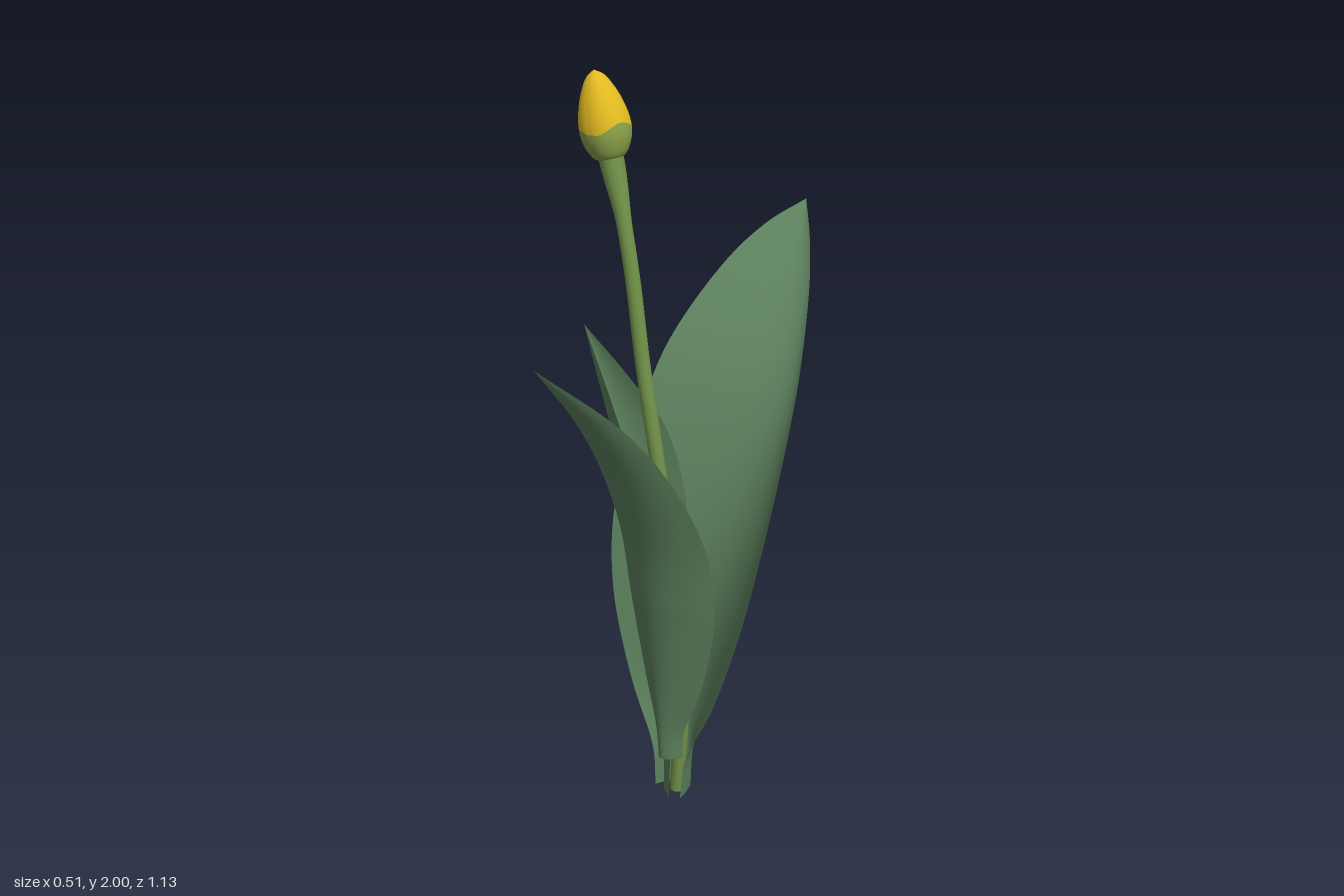
import * as THREE from 'three';

const mat = (name, color, side = THREE.FrontSide) => {
  const m = new THREE.MeshStandardMaterial({ color, side });
  m.name = name;
  return m;
};
const V = (p) => new THREE.Vector3(...p);

// Smooth grid surface from a point function of u and v in 0..1
function sheet(point, nu, nv) {
  const pos = [], index = [];
  for (let j = 0; j <= nv; j++)
    for (let i = 0; i <= nu; i++) pos.push(...point(i / nu, j / nv));
  for (let j = 0; j < nv; j++)
    for (let i = 0; i < nu; i++) {
      const a = j * (nu + 1) + i, b = a + nu + 1;
      index.push(a, b, a + 1, a + 1, b, b + 1);
    }
  const g = new THREE.BufferGeometry();
  g.setAttribute('position', new THREE.Float32BufferAttribute(pos, 3));
  g.setIndex(index);
  g.computeVertexNormals();
  return g;
}

// Leaf blade: each cross-section is a parabola through one edge, the midrib and the other edge
function leaf(edgeA, midrib, edgeB) {
  const [A, M, B] = [edgeA, midrib, edgeB].map((c) => new THREE.CatmullRomCurve3(c.map(V)));
  return sheet((u, v) => {
    const s = u * 2 - 1;
    const a = A.getPoint(v), m = M.getPoint(v), b = B.getPoint(v);
    return m.multiplyScalar(1 - s * s)
      .addScaledVector(a, (s * (s - 1)) / 2)
      .addScaledVector(b, (s * (s + 1)) / 2)
      .toArray();
  }, 20, 64);
}

export function createModel() {
  const group = new THREE.Group();
  const leafGreen = mat('leaf green', 0x5b7f5c, THREE.DoubleSide);
  const stemGreen = mat('stem green', 0x6f9048);
  const budGreen = mat('bud green', 0x889f48, THREE.DoubleSide);
  const petalYellow = mat('petal yellow', 0xe2ba20, THREE.DoubleSide);
  const add = (name, geometry, material, parent = group) => {
    const mesh = new THREE.Mesh(geometry, material);
    mesh.name = name;
    parent.add(mesh);
    return mesh;
  };

  // Tall leaf leaning backwards, one edge wrapping further round the stem
  add('backLeaf', leaf(
    [[0, 0, 0.15], [-0.01, 0.12, 0.15], [-0.085, 0.31, 0.16], [-0.145, 0.58, 0.17], [-0.16, 0.82, 0.145],
      [-0.165, 1.03, 0.06], [-0.175, 1.22, -0.06], [-0.18, 1.4, -0.28], [-0.175, 1.475, -0.43], [-0.16, 1.515, -0.565]],
    [[0.05, 0, 0.07], [0.05, 0.12, 0.065], [0.05, 0.3, 0.05], [0.05, 0.55, 0.018], [0.05, 0.75, -0.033],
      [0.045, 0.95, -0.115], [0.01, 1.15, -0.225], [-0.055, 1.33, -0.365], [-0.11, 1.43, -0.465], [-0.16, 1.515, -0.565]],
    [[0.1, 0, 0.15], [0.11, 0.12, 0.14], [0.18, 0.3, 0.105], [0.245, 0.55, 0.065], [0.255, 0.75, 0.005],
      [0.215, 0.95, -0.105], [0.125, 1.15, -0.26], [0.01, 1.34, -0.41], [-0.075, 1.44, -0.495], [-0.16, 1.515, -0.565]],
  ), leafGreen);

  // Shorter leaf leaning forwards
  add('frontLeaf', leaf(
    [[0.01, 0.12, 0.13], [0.005, 0.2, 0.13], [-0.06, 0.36, 0.125], [-0.11, 0.6, 0.135], [-0.115, 0.8, 0.165],
      [-0.1, 1.02, 0.25], [-0.05, 1.2, 0.37], [0.04, 1.39, 0.565]],
    [[0.05, 0.12, 0.175], [0.05, 0.2, 0.18], [0.05, 0.36, 0.192], [0.05, 0.6, 0.217], [0.05, 0.8, 0.247],
      [0.048, 1.02, 0.325], [0.045, 1.2, 0.425], [0.04, 1.39, 0.565]],
    [[0.09, 0.12, 0.13], [0.095, 0.2, 0.13], [0.15, 0.36, 0.115], [0.205, 0.6, 0.12], [0.216, 0.8, 0.155],
      [0.193, 1.02, 0.25], [0.145, 1.2, 0.37], [0.04, 1.39, 0.565]],
  ), leafGreen);

  // Small channelled leaf wrapped around the stem
  add('innerLeaf', leaf(
    [[0.075, 0, 0.09], [0.07, 0.2, 0.1], [0.04, 0.4, 0.075], [0.005, 0.65, 0.035], [-0.01, 0.83, 0.022],
      [-0.055, 1.04, 0.05], [-0.105, 1.2, 0.135], [-0.165, 1.36, 0.235]],
    [[0.015, 0, 0.125], [0.01, 0.2, 0.125], [-0.04, 0.4, 0.125], [-0.08, 0.65, 0.13], [-0.1, 0.83, 0.14],
      [-0.125, 1.04, 0.165], [-0.145, 1.2, 0.2], [-0.165, 1.36, 0.235]],
    [[0.075, 0, 0.168], [0.075, 0.2, 0.16], [0.09, 0.4, 0.172], [0.1, 0.65, 0.2], [0.095, 0.83, 0.222],
      [0.02, 1.04, 0.243], [-0.06, 1.2, 0.245], [-0.165, 1.36, 0.235]],
  ), leafGreen);

  // Stem, flaring just under the bud
  const path = new THREE.CatmullRomCurve3([
    [0.055, 0, 0.12], [0.065, 0.25, 0.11], [0.05, 0.6, 0.12], [0.01, 0.95, 0.135],
    [-0.045, 1.25, 0.14], [-0.088, 1.48, 0.135], [-0.128, 1.65, 0.133], [-0.168, 1.795, 0.135]].map(V));
  const stem = new THREE.TubeGeometry(path, 60, 0.02, 14);
  const p = stem.attributes.position, n = stem.attributes.normal;
  for (let i = 0; i < p.count; i++) {
    const flare = 0.013 * THREE.MathUtils.smoothstep(p.getY(i), 1.6, 1.79);
    p.setXYZ(i, p.getX(i) + n.getX(i) * flare, p.getY(i) + n.getY(i) * flare, p.getZ(i) + n.getZ(i) * flare);
  }
  add('stem', stem, stemGreen);

  // Bud: three overlapping petals, green below a wavy line and yellow above
  const bud = new THREE.Group();
  bud.name = 'bud';
  bud.position.set(-0.165, 1.775, 0.135);
  bud.rotation.z = 0.265;
  group.add(bud);
  const profile = new THREE.CatmullRomCurve3([
    [0, 0, 0], [0.036, 0.008, 0], [0.058, 0.045, 0], [0.064, 0.085, 0],
    [0.058, 0.13, 0], [0.044, 0.175, 0], [0.022, 0.215, 0], [0, 0.23, 0]].map(V));
  const petalPart = (start, range) => sheet((u, v) => {
    const angle = start + u * 2.4;
    const line = 0.42 + 0.035 * Math.cos(angle * 3);
    const t = range(line, v);
    const q = profile.getPoint(t);
    const r = q.x * (1 + 0.13 * (u - 0.5) * Math.sin(Math.PI * t));
    return [r * Math.cos(angle), q.y, -r * Math.sin(angle)];
  }, 20, 16);
  for (let k = 0; k < 3; k++) {
    const start = 0.5 + (k * Math.PI * 2) / 3;
    add('petalBase', petalPart(start, (line, v) => line * v), budGreen, bud);
    add('petal', petalPart(start, (line, v) => line + (1 - line) * v), petalYellow, bud);
  }
  return group;
}
